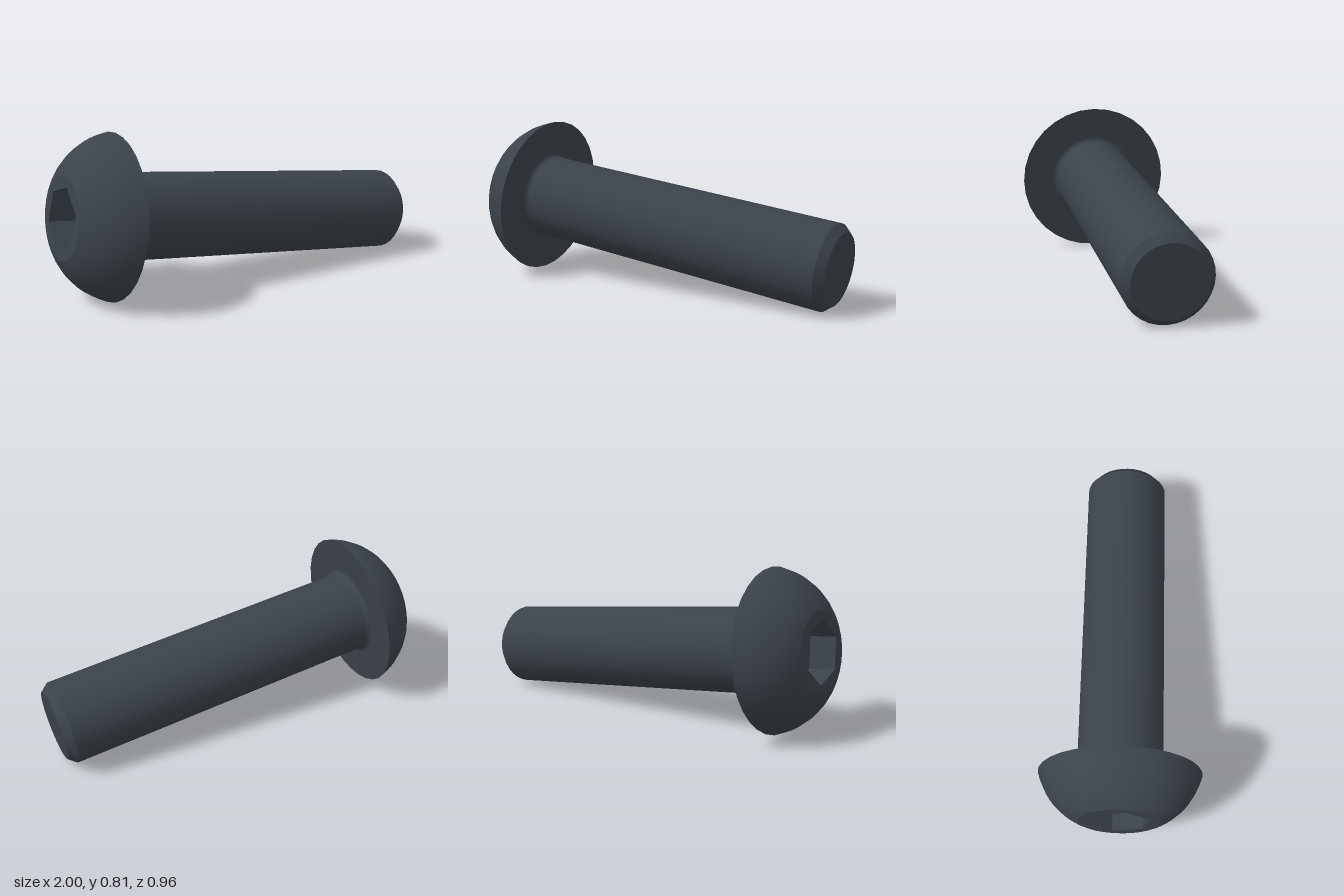
import * as THREE from 'three';

const SEGMENTS = 32;
const HEAD_TOP = -0.242; // local y along the bolt axis, 0 at the underside of the head
const FLAT_R = 0.2, HEAD_R = 0.41, SHANK_R = 0.216, TIP_R = 0.18;
const HEX_R = 0.158, HEX_DEPTH = 0.14, FILLET = 0.025;
const CHAMFER_Y = 1.685, TIP_Y = 1.727;

export function createModel() {
  const steel = new THREE.MeshStandardMaterial({ color: 0x3b424a });
  const bolt = new THREE.Group();
  bolt.name = 'bolt';

  const add = (name, geometry) => {
    const mesh = new THREE.Mesh(geometry, steel);
    mesh.name = name;
    bolt.add(mesh);
  };
  // One lathe per smooth surface, so the edges between them stay sharp
  const lathe = (name, points) =>
    add(name, new THREE.LatheGeometry(points.map(([r, y]) => new THREE.Vector2(r, y)), SEGMENTS));
  const arc = (cx, cy, r, from, to, n) => Array.from({ length: n + 1 }, (_, i) => {
    const a = from + (to - from) * i / n;
    return [cx + r * Math.cos(a), cy + r * Math.sin(a)];
  });

  // Domed head
  const dome = arc(0.063, 0.086, 0.3565, -1.175, -0.243, 10);
  dome[0] = [FLAT_R, HEAD_TOP];
  dome[10] = [HEAD_R, 0];
  lathe('headDome', dome);
  lathe('headUnderside', [[HEAD_R, 0], [SHANK_R + FILLET, 0]]);

  // Flat top of the head with a hexagonal opening
  const ring = (r, n) => Array.from({ length: n }, (_, i) =>
    new THREE.Vector2(r * Math.cos(i / n * Math.PI * 2), r * Math.sin(i / n * Math.PI * 2)));
  const face = new THREE.Shape(ring(FLAT_R, SEGMENTS));
  face.holes.push(new THREE.Path(ring(HEX_R, 6).reverse()));
  add('headTop', new THREE.ShapeGeometry(face).rotateX(Math.PI / 2).translate(0, HEAD_TOP, 0));

  // Socket: inward-facing walls and a floor
  const walls = new THREE.CylinderGeometry(HEX_R, HEX_R, HEX_DEPTH, 6, 1, true)
    .rotateY(Math.PI / 2).scale(-1, 1, 1)
    .translate(0, HEAD_TOP + HEX_DEPTH / 2, 0).toNonIndexed();
  const p = walls.attributes.position;
  const a = new THREE.Vector3(), b = new THREE.Vector3();
  for (let i = 0; i < p.count; i += 3) { // mirroring turned the corners round: swap them back in order
    a.fromBufferAttribute(p, i + 1);
    b.fromBufferAttribute(p, i + 2);
    const c = new THREE.Vector3().fromBufferAttribute(p, i);
    const n = a.clone().sub(c).cross(b.clone().sub(c));
    if (n.x * c.x + n.z * c.z > 0) {
      p.setXYZ(i + 1, b.x, b.y, b.z);
      p.setXYZ(i + 2, a.x, a.y, a.z);
    }
  }
  walls.computeVertexNormals();
  add('socketWalls', walls);
  add('socketFloor', new THREE.CircleGeometry(HEX_R, 6)
    .rotateX(Math.PI / 2).translate(0, HEAD_TOP + HEX_DEPTH, 0));

  // Shank with a fillet under the head and a chamfered tip
  lathe('shankFillet', arc(SHANK_R + FILLET, FILLET, FILLET, -Math.PI / 2, -Math.PI, 5));
  lathe('shank', [[SHANK_R, FILLET], [SHANK_R, CHAMFER_Y]]);
  lathe('tipChamfer', [[SHANK_R, CHAMFER_Y], [TIP_R, TIP_Y]]);
  add('tipFace', new THREE.CircleGeometry(TIP_R, SEGMENTS)
    .rotateX(-Math.PI / 2).translate(0, TIP_Y, 0));

  // Lay the bolt down along its slanted axis
  const axis = new THREE.Vector3(0.972, -0.1135, 0.2065).normalize();
  bolt.quaternion.setFromUnitVectors(new THREE.Vector3(0, 1, 0), axis);
  bolt.position.set(-0.72, 0.408, -0.08);

  const model = new THREE.Group();
  model.name = 'buttonHeadBolt';
  model.add(bolt);
  return model;
}
